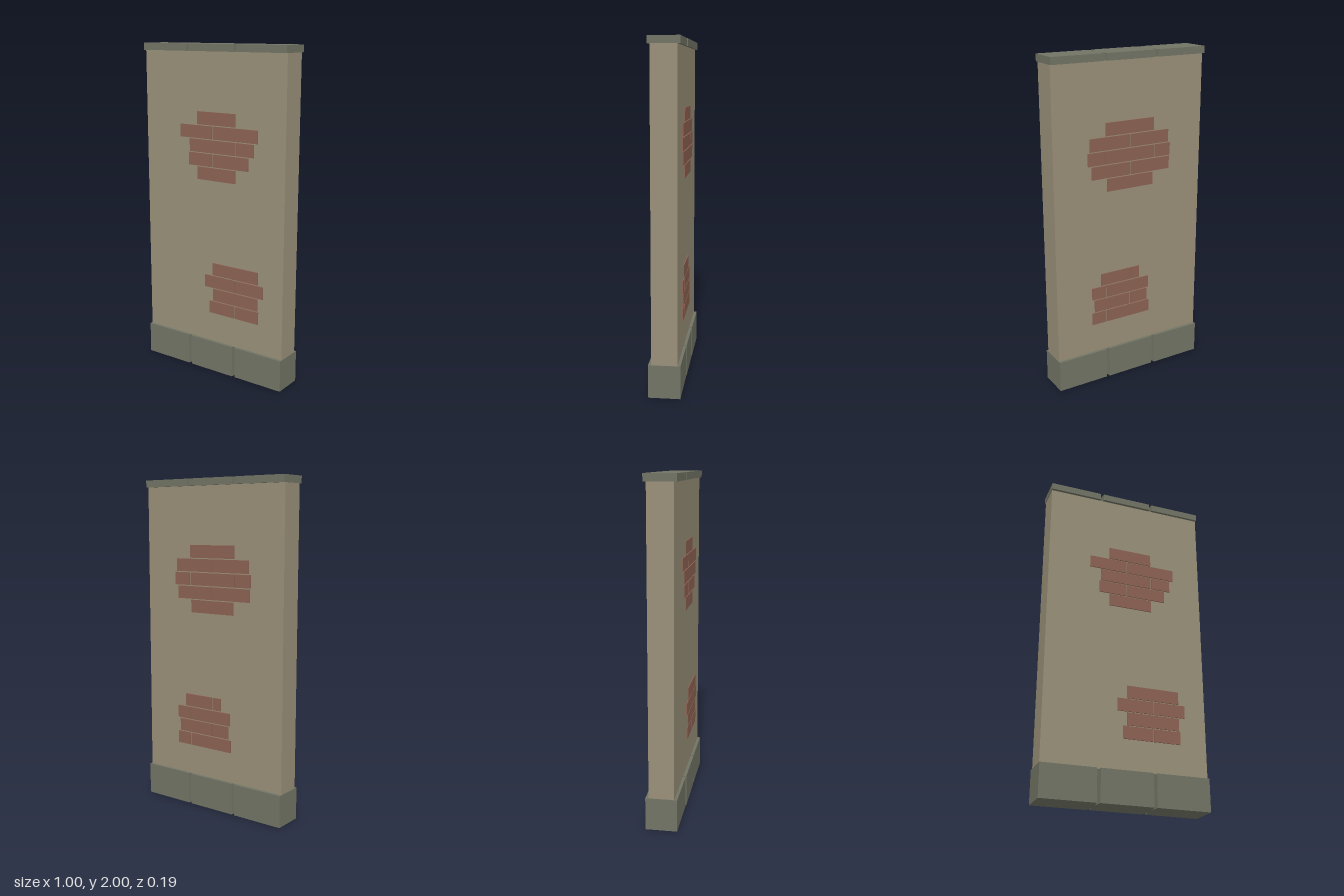
import * as THREE from 'three';

const stone = new THREE.MeshStandardMaterial({ color: 0x717464 });
stone.name = 'grey stone';
const plaster = new THREE.MeshStandardMaterial({ color: 0x999079 });
plaster.name = 'tan plaster';
const brick = new THREE.MeshStandardMaterial({ color: 0x8c6253 });
brick.name = 'red brick';

const WALL_Z = 0.074;
const JOINT = 0.166; // x of the joints between stones

// Block whose plan narrows towards its outer corners, leaving V-shaped grooves at the joints
function makeBlock(name, x0, x1, y0, y1, zFront, zBack) {
  const a = x0 > -0.5 ? 0.01 : 0;
  const b = x1 < 0.5 ? 0.01 : 0;
  const core = 0.03;
  const plan = new THREE.Shape([
    [x0 + a, -zFront], [x1 - b, -zFront], [x1, -core], [x1, core],
    [x1 - b, zBack], [x0 + a, zBack], [x0, core], [x0, -core],
  ].map(([x, y]) => new THREE.Vector2(x, y)));
  const geo = new THREE.ExtrudeGeometry(plan, { depth: y1 - y0, bevelEnabled: false });
  geo.rotateX(-Math.PI / 2);
  geo.translate(0, y0, 0);
  const mesh = new THREE.Mesh(geo, stone);
  mesh.name = name;
  return mesh;
}

// Row of three slightly uneven stones
function makeCourse(name, y0, y1, depths) {
  const group = new THREE.Group();
  group.name = name;
  const xs = [-0.5, -JOINT, JOINT, 0.5];
  depths.forEach(([front, back], i) =>
    group.add(makeBlock(name + 'Stone', xs[i], xs[i + 1], y0, y1, front, back)));
  return group;
}

// Exposed bricks: each row lists the x positions of its ends and joints
function makePatch(name, top, rows, side) {
  const group = new THREE.Group();
  group.name = name;
  rows.forEach((xs, r) => {
    for (let i = 0; i < xs.length - 1; i++) {
      const x0 = xs[i] + (i > 0 ? 0.003 : 0);
      const x1 = xs[i + 1] - (i < xs.length - 2 ? 0.003 : 0);
      const mesh = new THREE.Mesh(new THREE.BoxGeometry(x1 - x0, 0.076, 0.009), brick);
      mesh.position.set((x0 + x1) / 2, top - 0.038 - r * 0.082, side * (WALL_Z + 0.0015));
      mesh.name = 'brick';
      group.add(mesh);
    }
  });
  return group;
}

export function createModel() {
  const model = new THREE.Group();
  model.name = 'wallPanel';

  // Plastered wall between the stone courses
  const wall = new THREE.Mesh(new THREE.BoxGeometry(0.994, 1.77, WALL_Z * 2), plaster);
  wall.position.y = 1.075;
  wall.name = 'wall';
  model.add(wall);

  // Stone base and cap
  model.add(makeCourse('base', 0, 0.193, [[0.091, 0.093], [0.093, 0.092], [0.092, 0.091]]));
  model.add(makeCourse('cap', 1.958, 2, [[0.09, 0.091], [0.091, 0.093], [0.089, 0.09]]));

  // Brick patches, front then back
  model.add(makePatch('frontUpperBricks', 1.613, [
    [-0.11, 0.163], [-0.235, 0, 0.315], [-0.165, JOINT, 0.29], [-0.172, 0, 0.252], [-0.107, 0.163],
  ], 1));
  model.add(makePatch('frontLowerBricks', 0.7, [
    [0.003, 0.326], [-0.055, JOINT, 0.364], [0.003, 0.326], [-0.022, JOINT, 0.332],
  ], 1));
  model.add(makePatch('backUpperBricks', 1.613, [
    [-0.16, 0.163], [-0.262, 0, 0.267], [-0.275, -JOINT, JOINT, 0.28], [-0.27, 0, 0.256], [-0.155, 0.157],
  ], -1));
  model.add(makePatch('backLowerBricks', 0.7, [
    [-0.065, 0, 0.203], [-0.132, JOINT, 0.264], [-0.12, 0, 0.248], [-0.137, JOINT, 0.264],
  ], -1));

  return model;
}
